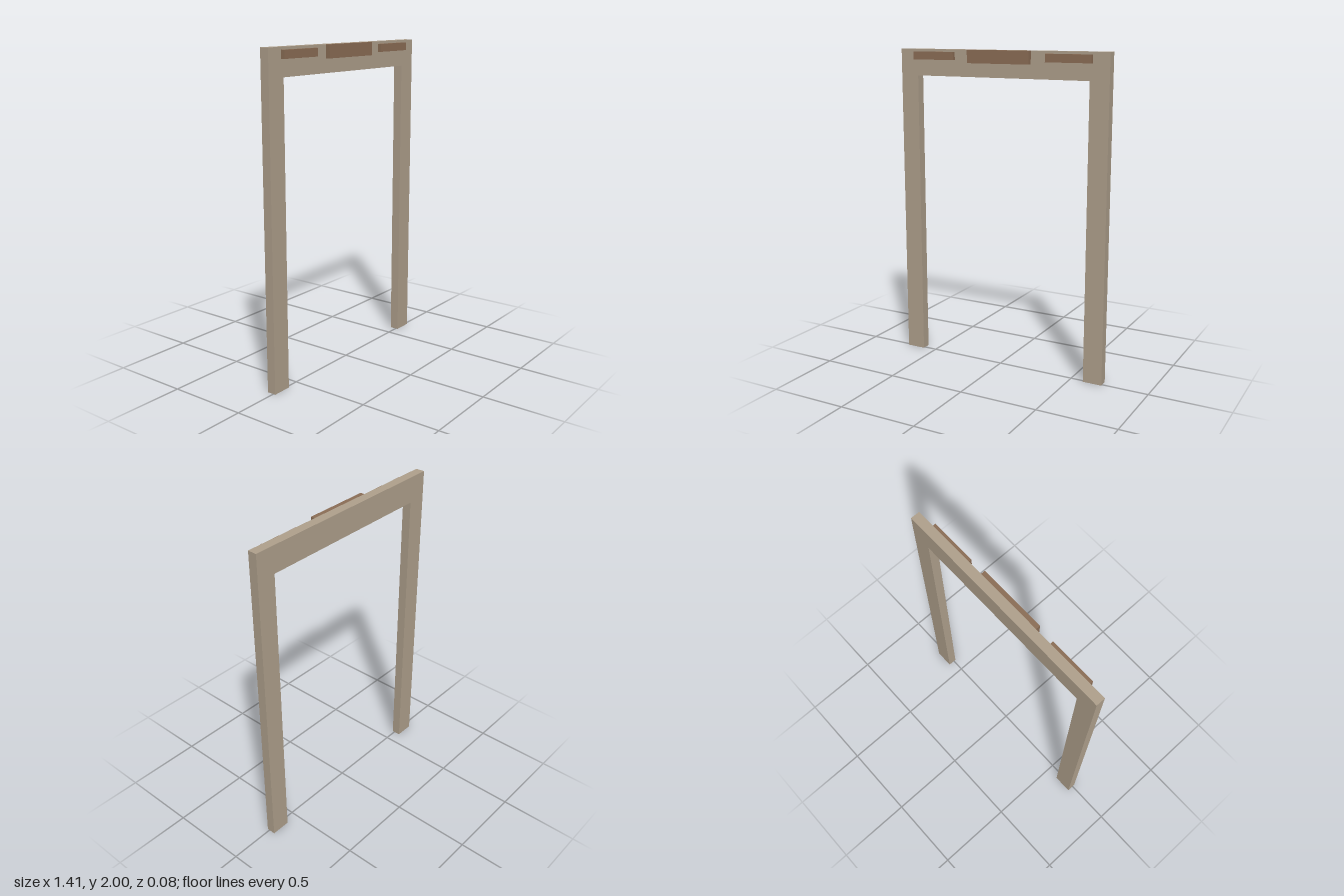
import * as THREE from 'three';

export function createModel() {
  const group = new THREE.Group();
  const stone = new THREE.MeshStandardMaterial({ color: 0xb0a18d });
  stone.name = 'pale stone';
  const wood = new THREE.MeshStandardMaterial({ color: 0x8c6e56 });
  wood.name = 'brown wood';

  const back = -0.042, front = 0.015;

  // Door surround: two jambs and a lintel in one outline
  const outline = new THREE.Shape([
    [-0.707, 0], [-0.585, 0], [-0.585, 1.835], [0.585, 1.835],
    [0.585, 0], [0.707, 0], [0.707, 2], [-0.707, 2],
  ].map(([x, y]) => new THREE.Vector2(x, y)));
  const frame = new THREE.Mesh(
    new THREE.ExtrudeGeometry(outline, { depth: front - back, bevelEnabled: false }), stone);
  frame.position.z = back;
  frame.name = 'doorFrame';
  group.add(frame);

  // Raised panels along the lintel
  function panel(name, x, y, width, height, depth) {
    const mesh = new THREE.Mesh(new THREE.BoxGeometry(width, height, depth), wood);
    mesh.position.set(x, y, front + depth / 2);
    mesh.name = name;
    group.add(mesh);
  }
  panel('centrePanel', 0, 1.96, 0.42, 0.08, 0.027);
  panel('leftPanel', 0.457, 1.96, 0.29, 0.049, 0.023);
  panel('rightPanel', -0.457, 1.96, 0.29, 0.049, 0.023);

  return group;
}
